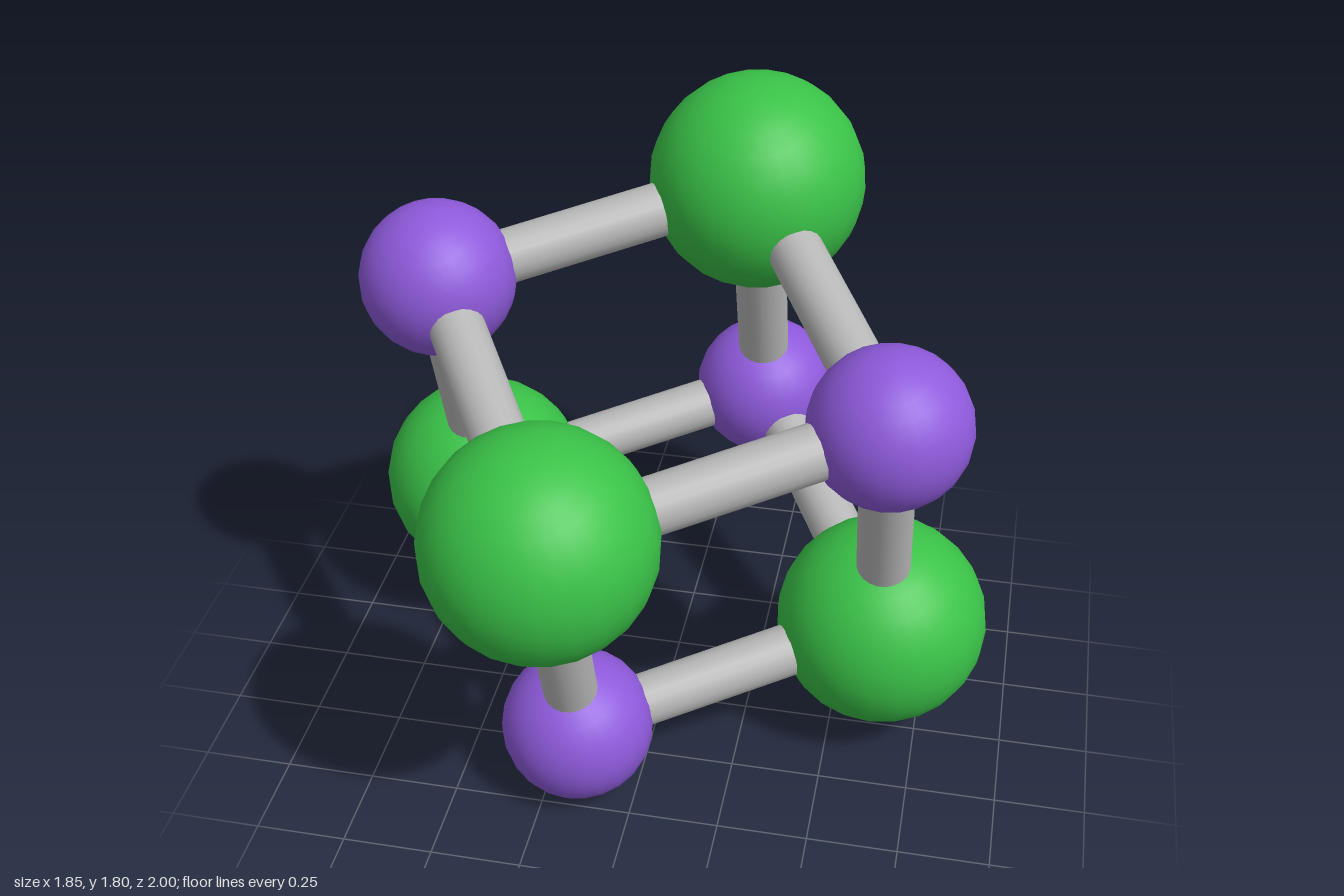
import * as THREE from 'three';

const EDGE = 0.917, BIG = 0.298, SMALL = 0.2115, ROD = 0.075;

export function createModel() {
  const model = new THREE.Group();
  model.name = 'crystalCell';

  const green = new THREE.MeshStandardMaterial({ name: 'green', color: 0x3ac248 });
  const purple = new THREE.MeshStandardMaterial({ name: 'purple', color: 0x8e5adb });
  const grey = new THREE.MeshStandardMaterial({ name: 'grey', color: 0xb8b8b8 });

  const bigSphere = new THREE.SphereGeometry(BIG, 24, 16);
  const smallSphere = new THREE.SphereGeometry(SMALL, 24, 16);
  const rodShape = new THREE.CylinderGeometry(ROD, ROD, EDGE, 20);

  // Tilted cube frame that carries every part
  const lattice = new THREE.Group();
  lattice.name = 'lattice';
  lattice.rotation.set(Math.PI / 9, Math.PI / 6, 0);
  lattice.position.set(0, 0.857, -0.043);
  model.add(lattice);

  const add = (name, geometry, material, x, y, z) => {
    const mesh = new THREE.Mesh(geometry, material);
    mesh.name = name;
    mesh.position.set(x, y, z).multiplyScalar(EDGE / 2);
    lattice.add(mesh);
    return mesh;
  };

  // Atoms alternate between the two kinds around the cube corners
  for (const x of [-1, 1]) for (const y of [-1, 1]) for (const z of [-1, 1]) {
    if (x * y * z < 0) add('largeAtom', bigSphere, green, x, y, z);
    else add('smallAtom', smallSphere, purple, x, y, z);
  }

  // Rods along the twelve cube edges
  for (const a of [-1, 1]) for (const b of [-1, 1]) {
    add('rodAlongX', rodShape, grey, 0, a, b).rotation.z = Math.PI / 2;
    add('rodAlongY', rodShape, grey, a, 0, b);
    add('rodAlongZ', rodShape, grey, a, b, 0).rotation.x = Math.PI / 2;
  }
  return model;
}
